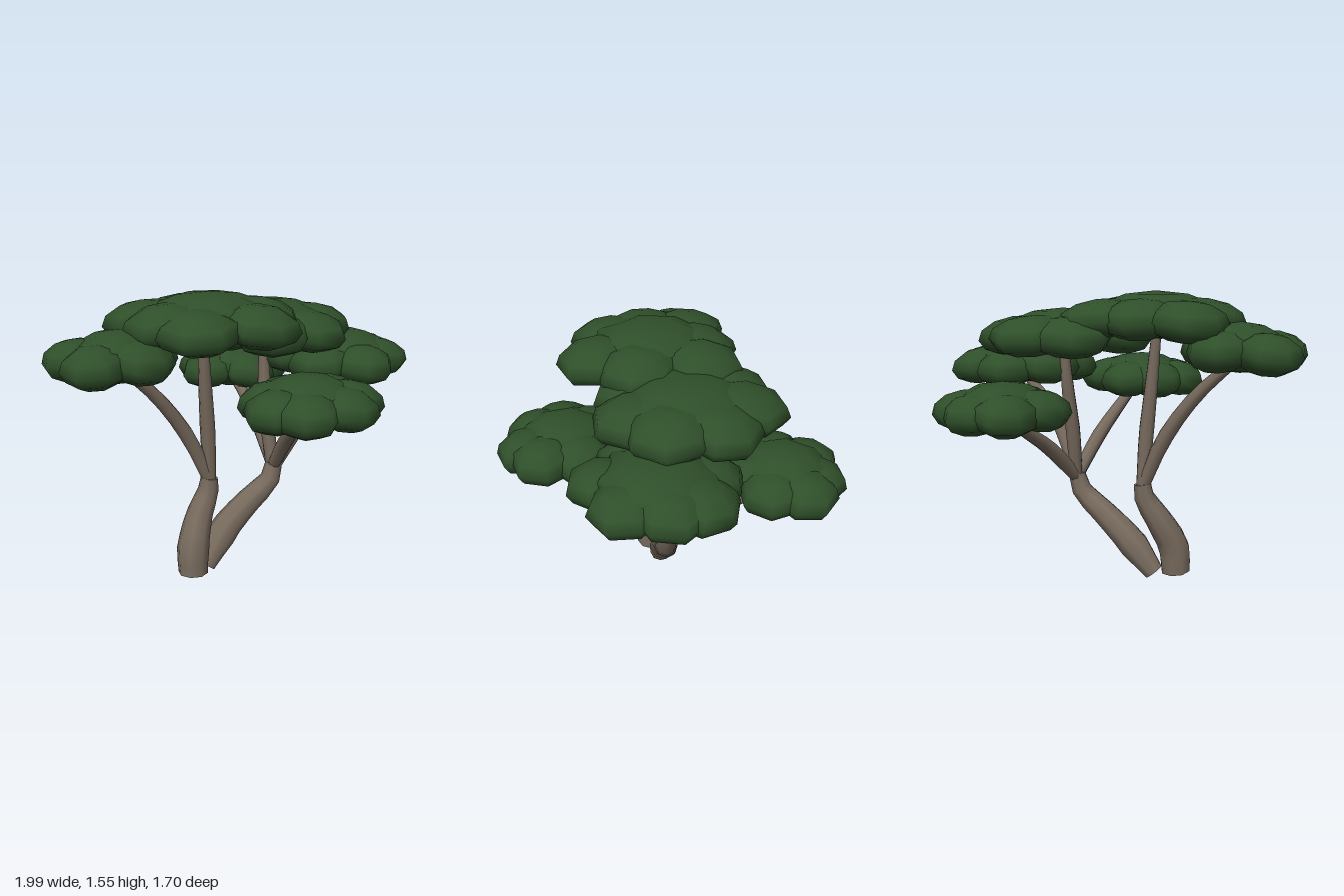
import * as THREE from 'three';
import { mergeVertices } from 'three/addons/utils/BufferGeometryUtils.js';

export function createModel() {
  const bark = new THREE.MeshStandardMaterial({ color: 0x776a5d });
  bark.name = 'bark brown';
  const leaf = new THREE.MeshStandardMaterial({ color: 0x2f4f2a });
  leaf.name = 'leaf green';

  const tree = new THREE.Group();
  tree.name = 'tree';

  // Tapered limb along a curve; radii are spread evenly over its length
  function limb(name, points, radii, sides = 8) {
    const curve = new THREE.CatmullRomCurve3(points.map((p) => new THREE.Vector3(...p)));
    const segments = 8;
    const geometry = new THREE.TubeGeometry(curve, segments, 1, sides);
    const pos = geometry.attributes.position;
    const v = new THREE.Vector3();
    for (let i = 0; i < pos.count; i++) {
      const t = Math.floor(i / (sides + 1)) / segments;
      const k = Math.min(Math.floor(t * (radii.length - 1)), radii.length - 2);
      const r = THREE.MathUtils.lerp(radii[k], radii[k + 1], t * (radii.length - 1) - k);
      const centre = curve.getPointAt(t);
      v.fromBufferAttribute(pos, i).sub(centre).multiplyScalar(r).add(centre);
      pos.setXYZ(i, v.x, v.y, v.z);
    }
    const group = new THREE.Group();
    group.name = name;
    group.add(new THREE.Mesh(geometry, bark));
    // End caps
    for (const [t, r, sign] of [[0, radii[0], -1], [1, radii[radii.length - 1], 1]]) {
      const cap = new THREE.Mesh(new THREE.CircleGeometry(r, sides), bark);
      cap.position.copy(curve.getPointAt(t));
      cap.lookAt(cap.position.clone().addScaledVector(curve.getTangentAt(t), sign));
      group.add(cap);
    }
    group.children.forEach((m, i) => { m.name = ['wood', 'lowerEnd', 'upperEnd'][i]; });
    tree.add(group);
  }

  // Two leaning trunks
  limb('rightTrunk', [[-0.33, 0.05, 0.02], [-0.32, 0.19, 0.01], [-0.25, 0.34, -0.03], [-0.17, 0.47, -0.05], [-0.16, 0.54, -0.05]],
    [0.08, 0.088, 0.078, 0.065, 0.048]);
  limb('leftTrunk', [[-0.22, 0.04, -0.02], [-0.08, 0.21, -0.03], [0.1, 0.36, -0.01], [0.22, 0.45, 0.01], [0.25, 0.54, 0.01]],
    [0.055, 0.084, 0.075, 0.065, 0.048]);

  // Branches up to each canopy
  const taper = [0.035, 0.042, 0.035, 0.025];
  limb('rightBranch', [[-0.16, 0.52, -0.05], [-0.28, 0.79, -0.07], [-0.45, 1.03, -0.08], [-0.66, 1.23, -0.08]], taper);
  limb('topBranch', [[-0.16, 0.52, -0.05], [-0.175, 0.8, -0.04], [-0.2, 1.1, -0.025], [-0.22, 1.38, -0.01]], taper);
  limb('middleBranch', [[0.25, 0.52, 0], [0.245, 0.8, -0.05], [0.255, 1.05, -0.09], [0.27, 1.3, -0.1]], taper);
  limb('leftBranch', [[0.25, 0.52, 0.01], [0.37, 0.76, 0.08], [0.5, 0.94, 0.12], [0.66, 1.1, 0.14]], taper);
  limb('frontBranch', [[0.25, 0.53, 0.01], [0.19, 0.73, 0.17], [0.12, 0.9, 0.35], [0.06, 1.03, 0.5]], taper);
  limb('backBranch', [[0.25, 0.53, 0], [0.31, 0.73, -0.21], [0.36, 0.87, -0.42], [0.38, 0.96, -0.57]], taper);

  // Seeded generator for small irregularities
  let seed = 7;
  const random = () => (seed = (seed * 16807) % 2147483647) / 2147483647;

  // Smooth seven-sided ball shared by all leaf lobes
  let ball = new THREE.SphereGeometry(1, 7, 6);
  ball.deleteAttribute('normal');
  ball.deleteAttribute('uv');
  ball = mergeVertices(ball, 1e-3);

  // Canopy: flattened lobes [x, z, radius] at one height, the first being the taller middle;
  // the outer lobes sit lower and droop away from it
  function canopy(name, y, lobes) {
    const group = new THREE.Group();
    group.name = name;
    const [cx, cz] = lobes[0];
    lobes.forEach(([x, z, r], i) => {
      const geometry = ball.clone();
      geometry.rotateY(random() * 6);
      geometry.scale(r * 1.04, i ? 0.1 : 0.125, r * 1.04);
      geometry.computeVertexNormals();
      const lobe = new THREE.Mesh(geometry, leaf);
      lobe.name = 'leafLobe';
      lobe.position.set(x, i ? y - 0.015 + (random() - 0.5) * 0.02 : y, z);
      if (i) {
        const axis = new THREE.Vector3(z - cz, 0, cx - x).normalize();
        lobe.quaternion.setFromAxisAngle(axis, 0.14);
      }
      group.add(lobe);
    });
    tree.add(group);
  }

  canopy('rightCanopy', 1.285, [[-0.67, -0.07, 0.22], [-0.83, -0.2, 0.16], [-0.6, -0.22, 0.16],
    [-0.83, 0, 0.16], [-0.64, 0.08, 0.16], [-0.52, -0.06, 0.15]]);
  canopy('topCanopy', 1.43, [[-0.2, 0.02, 0.32], [-0.44, -0.21, 0.2], [-0.46, 0.03, 0.21], [-0.41, 0.22, 0.2],
    [-0.12, 0.31, 0.2], [0.04, 0.12, 0.2], [0.02, -0.2, 0.21], [-0.2, -0.22, 0.2]]);
  canopy('middleCanopy', 1.34, [[0.28, -0.08, 0.32], [0.33, -0.35, 0.21], [0.5, -0.2, 0.19], [0.5, 0.04, 0.2],
    [0.33, 0.18, 0.2], [0.1, 0.15, 0.2], [0, -0.06, 0.2], [0.12, -0.32, 0.2]]);
  canopy('leftCanopy', 1.16, [[0.63, 0.11, 0.29], [0.79, -0.05, 0.18], [0.82, 0.08, 0.18], [0.77, 0.27, 0.17],
    [0.56, 0.36, 0.16], [0.4, 0.2, 0.17], [0.42, -0.02, 0.18], [0.6, -0.12, 0.17]]);
  canopy('frontCanopy', 1.065, [[0.04, 0.49, 0.25], [-0.17, 0.5, 0.16], [-0.1, 0.63, 0.16], [0.1, 0.68, 0.16],
    [0.21, 0.61, 0.16], [0.22, 0.43, 0.16], [0.06, 0.32, 0.16], [-0.09, 0.36, 0.16]]);
  canopy('backCanopy', 1.0, [[0.39, -0.54, 0.24], [0.29, -0.69, 0.16], [0.46, -0.68, 0.16], [0.57, -0.6, 0.16],
    [0.54, -0.45, 0.16], [0.38, -0.38, 0.16], [0.2, -0.53, 0.16]]);

  return tree;
}
